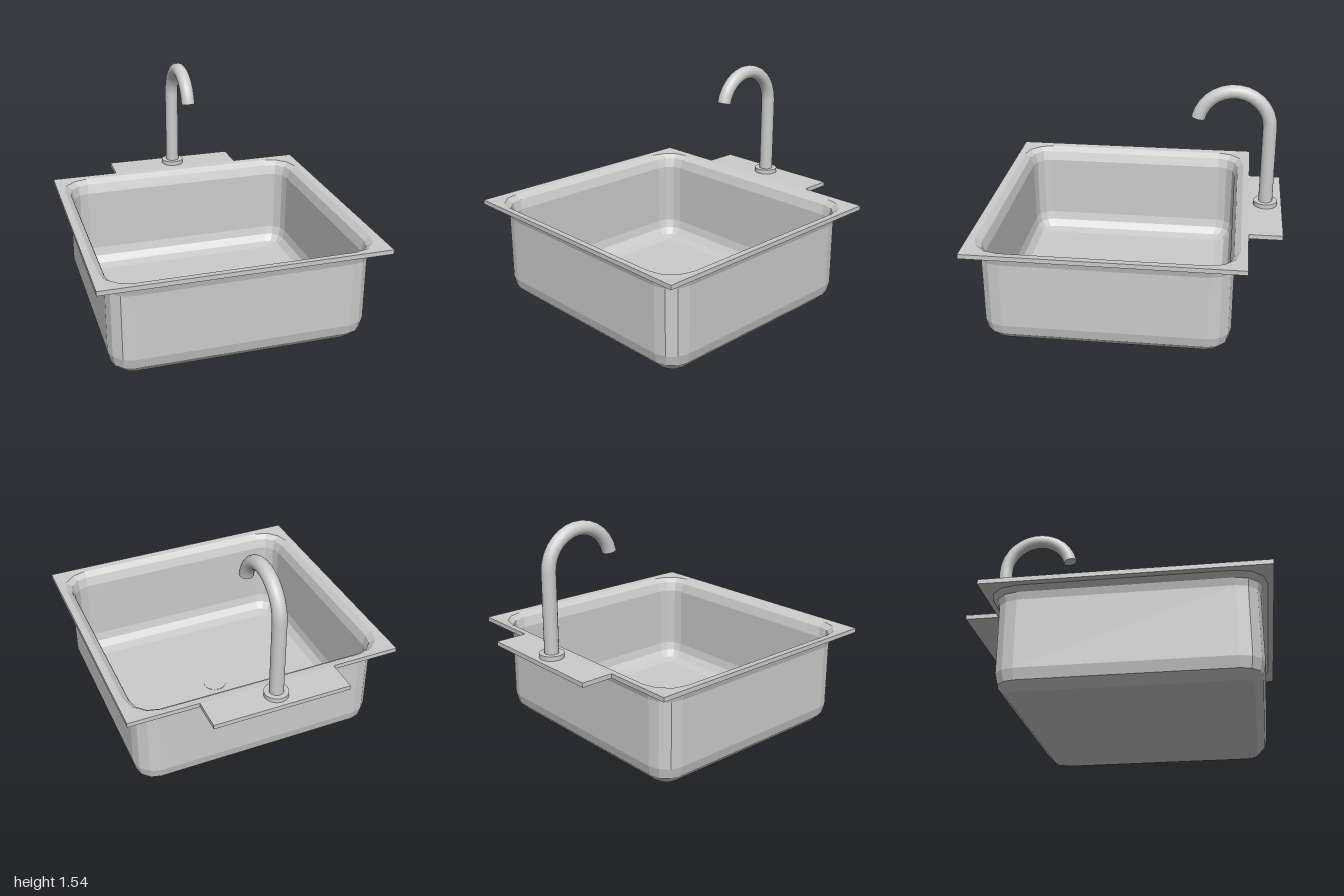
import * as THREE from 'three';

const CENTER_Z = 0.105, CORNER_STEPS = 3;

// Rounded rectangle loop seen from above, corner by corner
function roundedLoop([hx, hz, r, y]) {
  const corners = [[1, 1], [-1, 1], [-1, -1], [1, -1]];
  return corners.flatMap(([sx, sz], c) => Array.from({ length: CORNER_STEPS + 1 }, (_, i) => {
    const a = (c + i / CORNER_STEPS) * Math.PI / 2;
    return [sx * (hx - r) + r * Math.cos(a), y, sz * (hz - r) + r * Math.sin(a)];
  }));
}

// Skin a row of loops, running up the outside and down the inside
function loft(profile) {
  const loops = profile.map(roundedLoop), n = loops[0].length, index = [];
  for (let k = 0; k < loops.length - 1; k++) {
    for (let i = 0; i < n; i++) {
      const a = k * n + i, b = k * n + (i + 1) % n;
      index.push(a, a + n, b, b, a + n, b + n);
    }
  }
  const g = new THREE.BufferGeometry();
  g.setAttribute('position', new THREE.Float32BufferAttribute(loops.flat(2), 3));
  g.setIndex(index);
  g.computeVertexNormals();
  return g;
}

export function createModel() {
  const group = new THREE.Group();
  const flat = new THREE.MeshStandardMaterial({ color: 0xcccccc, flatShading: true, side: THREE.DoubleSide });
  const smooth = new THREE.MeshStandardMaterial({ color: 0xcccccc });
  const add = (name, geometry, material, x, y, z) => {
    const mesh = new THREE.Mesh(geometry, material);
    mesh.name = name;
    mesh.position.set(x, y, z);
    group.add(mesh);
    return mesh;
  };

  // Basin: half width, half depth, corner radius, height
  add('basin', loft([
    [0, 0, 0, 0],
    [0.71, 0.66, 0.04, 0],
    [0.785, 0.735, 0.09, 0.02],
    [0.838, 0.788, 0.13, 0.075],
    [0.855, 0.805, 0.145, 0.145],
    [0.855, 0.805, 0.145, 0.59],
    [0.868, 0.818, 0.16, 0.635],
    [0.9, 0.85, 0.19, 0.665],
    [0.94, 0.887, 0, 0.67],
    [0.94, 0.887, 0, 0.7],
    [0.89, 0.84, 0.19, 0.695],
    [0.85, 0.8, 0.15, 0.665],
    [0.828, 0.778, 0.12, 0.6],
    [0.825, 0.775, 0.12, 0.15],
    [0.81, 0.76, 0.11, 0.09],
    [0.77, 0.72, 0.08, 0.045],
    [0.7, 0.65, 0.04, 0.03],
    [0, 0, 0, 0.03],
  ]), flat, 0, 0, CENTER_Z);

  // Drain disc set in the floor
  add('drain', new THREE.CylinderGeometry(0.08, 0.08, 0.006, 32), smooth, 0, 0.03, 0.1);

  // Ledge behind the basin carrying the faucet
  add('faucetLedge', new THREE.BoxGeometry(0.935, 0.03, 0.218), flat, 0, 0.685, -0.891);

  // Faucet: collar, riser, bent neck and closed tip
  const tube = 0.047, bend = 0.24, z = -0.89, bendY = 1.255;
  add('faucetCollar', new THREE.CylinderGeometry(0.08, 0.08, 0.03, 32), smooth, 0, 0.715, z);
  add('faucetRiser', new THREE.CylinderGeometry(tube, tube, bendY - 0.7, 20, 1, true), smooth, 0, (bendY + 0.7) / 2, z);
  const sweep = THREE.MathUtils.degToRad(167);
  const neck = new THREE.TorusGeometry(bend, tube, 20, 14, sweep).rotateY(Math.PI / 2);
  add('faucetNeck', neck, smooth, 0, bendY, z + bend);
  const tip = add('faucetTip', new THREE.CircleGeometry(tube, 20), smooth,
    0, bendY + bend * Math.sin(sweep), z + bend - bend * Math.cos(sweep));
  tip.rotation.x = sweep - Math.PI / 2;

  return group;
}
